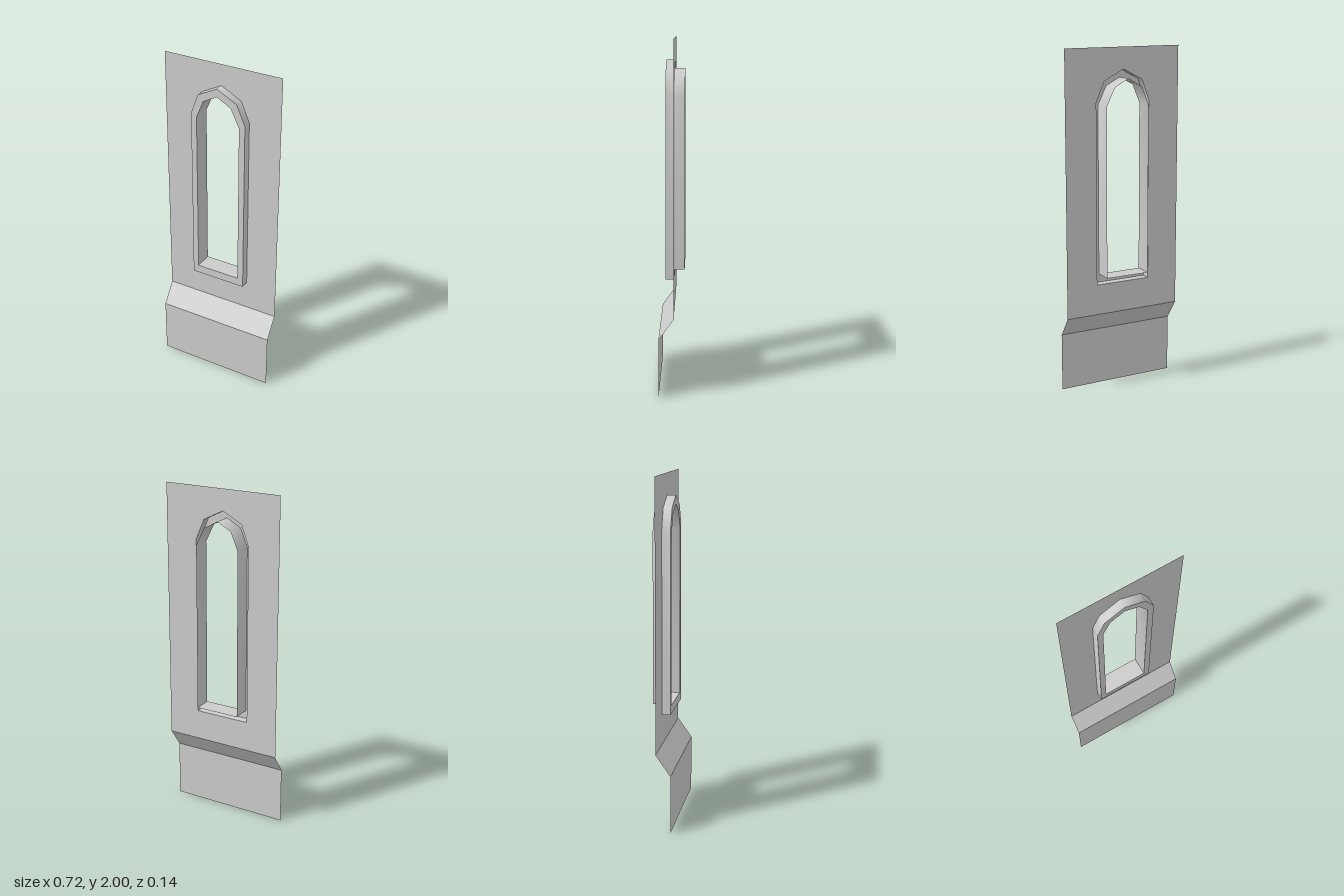
import * as THREE from 'three';
import { toCreasedNormals } from 'three/addons/utils/BufferGeometryUtils.js';

const HALF_WIDTH = 0.36;
const WALL_Z = -0.015, FRONT_Z = 0.035, BACK_Z = -0.073, FOOT_Z = 0.07;
const FOLD_TOP = 0.46, FOLD_BOTTOM = 0.34;

// Pointed-arch outlines, counter-clockwise seen from the front
const outer = [[-0.168, 0.64], [0.168, 0.64], [0.168, 1.696], [0.116, 1.814], [-0.005, 1.876], [-0.124, 1.814], [-0.168, 1.696]];
const inner = [[-0.134, 0.69], [0.132, 0.69], [0.132, 1.677], [0.08, 1.782], [-0.005, 1.828], [-0.09, 1.782], [-0.134, 1.677]];

const toPoints = (outline) => outline.map(([x, y]) => new THREE.Vector2(x, y));

// Flat sheet with one opening, facing +z
function sheetWithHole(outline, hole, z) {
  const shape = new THREE.Shape(toPoints(outline));
  shape.holes.push(new THREE.Path(toPoints(hole)));
  return new THREE.ShapeGeometry(shape).translate(0, 0, z);
}

// Skin between consecutive rows of [x, y, z] points, with creased normals
function skin(rows) {
  const positions = [];
  for (let r = 0; r < rows.length - 1; r++) {
    for (let i = 0; i < rows[r].length - 1; i++) {
      const a = rows[r][i], b = rows[r][i + 1], c = rows[r + 1][i + 1], d = rows[r + 1][i];
      positions.push(...a, ...b, ...c, ...a, ...c, ...d);
    }
  }
  const geometry = new THREE.BufferGeometry();
  geometry.setAttribute('position', new THREE.Float32BufferAttribute(positions, 3));
  return toCreasedNormals(geometry, 1.0);
}

// Closed outline swept from one depth to another
function reveal(outline, z0, z1) {
  const loop = [...outline, outline[0]];
  return skin([z0, z1].map((z) => loop.map(([x, y]) => [x, y, z])));
}

// Strip across the full panel width between two (y, z) edges
function strip(y0, z0, y1, z1) {
  return skin([[y0, z0], [y1, z1]].map(([y, z]) => [[-HALF_WIDTH, y, z], [HALF_WIDTH, y, z]]));
}

export function createModel() {
  const group = new THREE.Group();
  group.name = 'windowWallPanel';
  const material = new THREE.MeshStandardMaterial({ color: 0xcccccc, side: THREE.DoubleSide });
  const add = (name, geometry) => {
    const mesh = new THREE.Mesh(geometry, material);
    mesh.name = name;
    group.add(mesh);
  };

  // Thin wall: upper sheet, sloped ledge, lower plinth
  const wall = [[-HALF_WIDTH, FOLD_TOP], [HALF_WIDTH, FOLD_TOP], [HALF_WIDTH, 2], [-HALF_WIDTH, 2]];
  add('upperWall', sheetWithHole(wall, outer, WALL_Z));
  add('slopedLedge', strip(FOLD_BOTTOM, FOOT_Z, FOLD_TOP, WALL_Z));
  add('plinth', strip(0, FOOT_Z, FOLD_BOTTOM, FOOT_Z));

  // Raised window surround, with the opening running back through the wall
  add('frameOuterSide', reveal(outer, WALL_Z, FRONT_Z));
  add('frameFace', sheetWithHole(outer, inner, FRONT_Z));
  add('openingReveal', reveal(inner, FRONT_Z, BACK_Z));

  return group;
}
